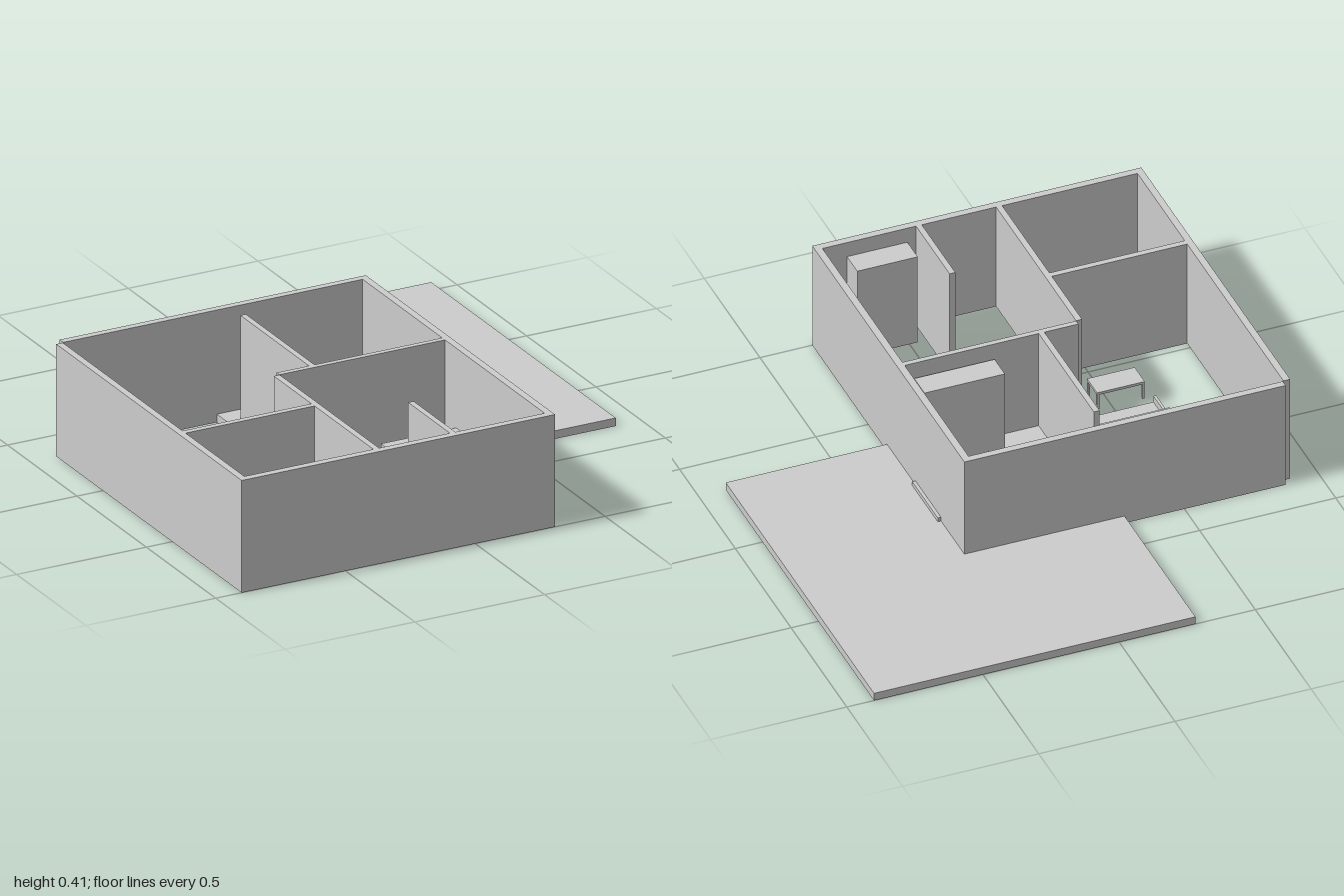
import * as THREE from 'three';

const WALL_H = 0.415;

export function createModel() {
  const model = new THREE.Group();
  model.name = 'openHouse';
  const grey = new THREE.MeshStandardMaterial({ color: 0xcccccc });
  grey.name = 'light grey';

  // Box given by its minimum and maximum on each axis
  function box(parent, name, x0, x1, y0, y1, z0, z1) {
    const mesh = new THREE.Mesh(new THREE.BoxGeometry(x1 - x0, y1 - y0, z1 - z0), grey);
    mesh.position.set((x0 + x1) / 2, (y0 + y1) / 2, (z0 + z1) / 2);
    mesh.name = name;
    parent.add(mesh);
    return mesh;
  }
  function group(name) {
    const g = new THREE.Group();
    g.name = name;
    model.add(g);
    return g;
  }
  // Flat top on four corner legs
  function legged(name, x0, x1, z0, z1, height, thick, leg) {
    const g = group(name);
    box(g, 'top', x0, x1, height - thick, height, z0, z1);
    for (const x of [x0, x1 - leg])
      for (const z of [z0, z1 - leg])
        box(g, 'leg', x, x + leg, 0, height - thick, z, z + leg);
    return g;
  }

  // Ground slab
  box(model, 'slab', -0.28, 0.9, 0, 0.03, -1, 0.33);

  // Walls: x range, z range
  const walls = group('walls');
  const plan = [
    ['leftOuterWall', -0.9, -0.875, -0.336, 0.973],
    ['frontOuterWall', -0.9, 0.308, 0.973, 1],
    ['rightOuterWall', 0.282, 0.308, -0.338, 0.973],
    ['backOuterWall', -0.872, 0.308, -0.364, -0.338],
    ['diningWall', -0.875, -0.378, 0.527, 0.549],
    ['hallWall', -0.378, -0.356, 0.256, 0.973],
    ['crossWall', -0.356, 0.282, 0.235, 0.255],
    ['bedroomWall', -0.231, -0.21, -0.26, 0.235],
    ['shortPartition', -0.083, -0.062, 0.672, 0.973],
  ];
  for (const [name, x0, x1, z0, z1] of plan) box(walls, name, x0, x1, 0, WALL_H, z0, z1);

  // Wardrobes
  box(model, 'bedroomWardrobe', -0.045, 0.25, 0, 0.357, 0.135, 0.227);
  box(model, 'frontWardrobe', -0.03, 0.192, 0, 0.357, 0.88, 0.972);

  // Bed, reaching through the outer wall
  const bed = group('bed');
  box(bed, 'mattress', 0.04, 0.32, 0, 0.046, -0.155, 0.075);
  box(bed, 'headboard', 0.03, 0.04, 0, 0.1, -0.155, 0.075);

  // Low cabinet against the right wall
  box(model, 'cabinet', -0.008, 0.282, 0, 0.12, 0.335, 0.477);

  // Sofa with thin back and arms
  const sofa = group('sofa');
  box(sofa, 'seat', -0.61, -0.268, 0, 0.055, 0.062, 0.183);
  box(sofa, 'back', -0.62, -0.255, 0, 0.11, 0.052, 0.062);
  box(sofa, 'rightArm', -0.62, -0.61, 0, 0.08, 0.062, 0.183);
  box(sofa, 'leftArm', -0.268, -0.255, 0, 0.08, 0.062, 0.183);

  // Tables
  legged('coffeeTable', -0.62, -0.445, 0.285, 0.375, 0.07, 0.01, 0.008);
  legged('diningTable', -0.65, -0.415, 0.642, 0.773, 0.12, 0.01, 0.01);

  // Chairs: corner x, corner z, whether a back rises on the left side
  for (const [x, z, hasBack] of [
    [-0.79, 0.687, true], [-0.642, 0.687, true],
    [-0.722, 0.8, false], [-0.575, 0.8, false],
  ]) {
    const chair = legged('chair', x, x + 0.063, z, z + 0.063, 0.065, 0.008, 0.006);
    if (hasBack) box(chair, 'back', x + 0.058, x + 0.063, 0.065, 0.13, z, z + 0.063);
  }

  return model;
}
